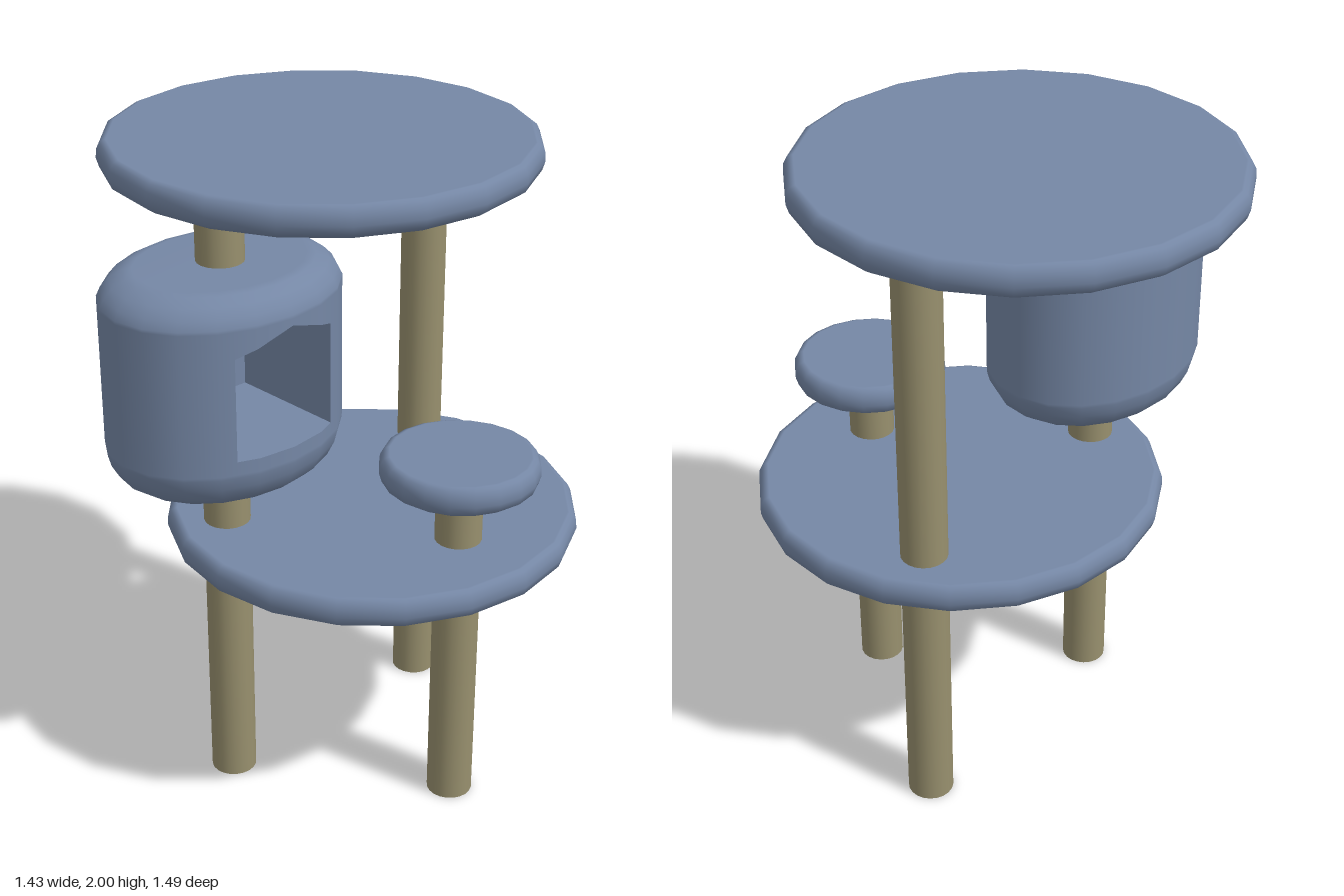
import * as THREE from 'three';

const SIDES = 20;
const plush = new THREE.MeshStandardMaterial({ color: 0x7587a5, side: THREE.DoubleSide });
const plushFlat = new THREE.MeshStandardMaterial({ color: 0x7587a5, side: THREE.DoubleSide, flatShading: true });
const rope = new THREE.MeshStandardMaterial({ color: 0x98906e, side: THREE.DoubleSide });

function add(parent, name, geometry, material) {
  const mesh = new THREE.Mesh(geometry, material);
  mesh.name = name;
  parent.add(mesh);
  return mesh;
}

function lathe(points, segments = SIDES, start = 0, length = Math.PI * 2) {
  return new THREE.LatheGeometry(points.map(([r, y]) => new THREE.Vector2(r, y)), segments, start, length);
}

// Round padded platform with a softened rim, resting at height y
function platform(parent, name, r, x, y, z) {
  const geometry = lathe([
    [0, 0], [r - 0.036, 0], [r - 0.03, 0.001], [r - 0.008, 0.016], [r, 0.042],
    [r - 0.002, 0.068], [r - 0.012, 0.088], [r - 0.024, 0.094], [r - 0.03, 0.095], [0, 0.095],
  ]);
  add(parent, name, geometry, plush).position.set(x, y, z);
}

// Open-ended round post between two heights
function post(parent, name, x, z, y0, y1) {
  const geometry = new THREE.CylinderGeometry(0.07, 0.07, y1 - y0, SIDES, 1, true);
  add(parent, name, geometry, rope).position.set(x, (y0 + y1) / 2, z);
}

// Indexed quads from a list of four-corner loops
function quads(list) {
  const positions = [], index = [];
  list.forEach((corners, i) => {
    corners.forEach((c) => positions.push(...c));
    index.push(4 * i, 4 * i + 1, 4 * i + 2, 4 * i, 4 * i + 2, 4 * i + 3);
  });
  const geometry = new THREE.BufferGeometry();
  geometry.setAttribute('position', new THREE.Float32BufferAttribute(positions, 3));
  geometry.setIndex(index);
  geometry.computeVertexNormals();
  return geometry;
}

// Oval hideaway with rounded shoulders and a gabled doorway recess
function createHouse() {
  const house = new THREE.Group();
  house.name = 'house';
  const R = 0.375, DEPTH = 0.8, low = 1.21, high = 1.64;
  const doorX = 0.1775, sill = 1.25, eave = 1.56, apex = 1.62, backZ = -0.11;
  const step = Math.PI * 2 / SIDES;
  const shell = (name, geometry) => add(house, name, geometry.scale(1, 1, DEPTH), plush);

  shell('houseLowerShoulder', lathe([
    [0.265, 1.085], [0.305, 1.098], [0.342, 1.125], [0.365, 1.165], [R, 1.2], [R, low],
  ]));
  shell('houseRoof', lathe([
    [R, high], [R, 1.65], [0.362, 1.675], [0.335, 1.702], [0.295, 1.72], [0.265, 1.725], [0, 1.725],
  ]));
  shell('houseWall', lathe([[R, low], [R, high]], SIDES - 4, 2 * step, (SIDES - 4) * step));

  // Front wall columns, split around the doorway
  const x1 = R * Math.sin(step), x2 = R * Math.sin(2 * step);
  const z1 = R * Math.cos(step), z2 = R * Math.cos(2 * step);
  const zDoor = z1 + (z2 - z1) * (doorX - x1) / (x2 - x1);
  const columns = [[-x2, z2], [-doorX, zDoor], [-x1, z1], [0, R], [x1, z1], [doorX, zDoor], [x2, z2]];
  const doorTop = (x) => apex - (apex - eave) * Math.abs(x) / doorX;
  const panels = [];
  for (let i = 0; i < columns.length - 1; i++) {
    const [xa, za] = columns[i], [xb, zb] = columns[i + 1];
    const panel = (a0, b0, b1, a1) => panels.push([[xa, a0, za], [xb, b0, zb], [xb, b1, zb], [xa, a1, za]]);
    if (i === 0 || i === columns.length - 2) {
      panel(low, low, high, high);
    } else {
      panel(low, low, sill, sill);
      panel(doorTop(xa), doorTop(xb), high, high);
    }
  }
  const front = quads(panels);
  const p = front.attributes.position;
  for (let i = 0; i < p.count; i++) {
    front.attributes.normal.setXYZ(i, p.getX(i) / R, 0, p.getZ(i) / R);
  }
  shell('houseFrontWall', front);

  // Doorway recess: floor, sides and gabled ceiling, then the back panel
  const door = columns.slice(1, -1);
  const rim = [
    ...door.map(([x, z]) => [x, sill, z * DEPTH]),
    ...door.map(([x, z]) => [x, doorTop(x), z * DEPTH]).reverse(),
  ];
  const lining = rim.map((a, i) => {
    const b = rim[(i + 1) % rim.length];
    return [a, b, [b[0], b[1], backZ], [a[0], a[1], backZ]];
  });
  add(house, 'doorwayLining', quads(lining), plushFlat);
  const backShape = new THREE.Shape(rim.map(([x, y]) => new THREE.Vector2(x, y)));
  add(house, 'doorwayBack', new THREE.ShapeGeometry(backShape).translate(0, 0, backZ), plushFlat);

  house.position.set(-0.34, 0, -0.08);
  return house;
}

export function createModel() {
  const model = new THREE.Group();
  model.name = 'catTree';

  platform(model, 'topPlatform', 0.643, 0.07, 1.905, -0.103);
  platform(model, 'middlePlatform', 0.625, 0.07, 0.805, 0.12);
  platform(model, 'smallPerch', 0.235, 0.07, 1.085, 0.475);

  post(model, 'tallPost', 0.485, -0.08, 0, 1.905);
  post(model, 'frontPost', 0.07, 0.478, 0, 1.085);
  // The house post stops below the doorway floor and resumes above its ceiling
  post(model, 'housePostLower', -0.34, -0.08, 0, 1.24);
  post(model, 'housePostUpper', -0.34, -0.08, 1.7, 1.905);

  model.add(createHouse());
  return model;
}
